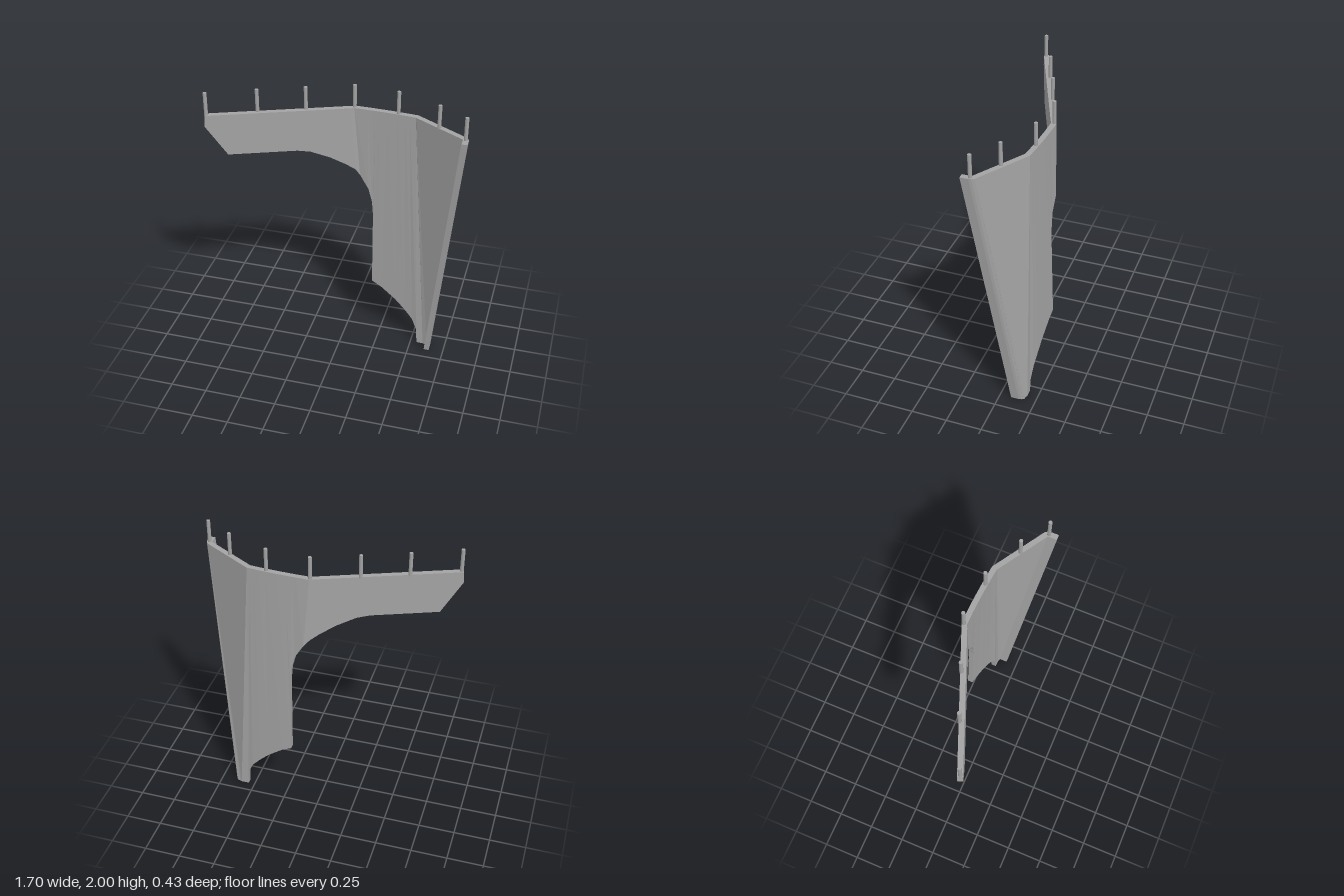
import * as THREE from 'three';

const TOP = 1.845;

// Flat-shaded closed solid through rings that run counter-clockwise about the direction of travel
function loft(rings) {
  const pos = [];
  const tri = (...pts) => pts.forEach((p) => pos.push(...p));
  const n = rings[0].length;
  for (let i = 0; i < rings.length - 1; i++) {
    const a = rings[i], b = rings[i + 1];
    for (let j = 0; j < n; j++) {
      const k = (j + 1) % n;
      tri(a[j], a[k], b[k]);
      tri(a[j], b[k], b[j]);
    }
  }
  const first = rings[0], last = rings[rings.length - 1];
  for (let j = 1; j < n - 1; j++) {
    tri(first[0], first[j + 1], first[j]);
    tri(last[0], last[j], last[j + 1]);
  }
  const g = new THREE.BufferGeometry();
  g.setAttribute('position', new THREE.Float32BufferAttribute(pos, 3));
  g.computeVertexNormals();
  return g;
}

export function createModel() {
  const model = new THREE.Group();
  const grey = new THREE.MeshStandardMaterial({ color: 0xa3a3a3 });
  grey.name = 'plain grey';
  const add = (geometry, name) => {
    const mesh = new THREE.Mesh(geometry, grey);
    mesh.name = name;
    model.add(mesh);
    return mesh;
  };

  // Columns of the folded sheet: lower x, y, z and upper x, z on the back surface.
  // The straight arm lies in one vertical plane.
  const armZ = (x) => -0.185 - 0.4 * (x - 0.06);
  const arm = [[-0.85, 1.77], [-0.72, 1.555], [-0.3, 1.555], [-0.22, 1.542], [-0.1, 1.49], [0, 1.43], [0.06, 1.385], [0.1, 1.34]]
    .map(([x, y], i) => {
      const top = [-0.845, -0.72, -0.3, -0.22, -0.12, -0.04, 0.02, 0.06][i];
      return [x, y, armZ(x), top, armZ(top)];
    });
  const body = [
    [0.16, 1.24, -0.199, 0.15, -0.183],
    [0.185, 1.14, -0.203, 0.18, -0.182],
    [0.193, 1.04, -0.206, 0.2, -0.181],
    [0.193, 0.46, -0.222, 0.22, -0.18],
    [0.26, 0.425, -0.217, 0.28, -0.177],
    [0.37, 0.34, -0.207, 0.35, -0.172],
    [0.44, 0.27, -0.2, 0.4, -0.168],
    [0.5, 0.2, -0.192, 0.43, -0.165],
    [0.54, 0.11, -0.184, 0.46, -0.162],
    [0.545, 0, -0.18, 0.47, -0.161],
    [0.6, 0, -0.18, 0.48, -0.16],
    [0.64, 0, -0.162, 0.83, 0.052],
  ];
  // Thickness goes towards the front, square to each panel
  const columns = [...arm, ...body];
  const rings = columns.map(([x, y, z, tx, tz], i) => {
    let [dx, dz] = [0, 0.036];
    if (i < arm.length - 1) [dx, dz] = [0.013, 0.033];
    if (i === columns.length - 2) [dx, dz] = [-0.008, 0.037];
    if (i === columns.length - 1) [dx, dz] = [-0.017, 0.032];
    return [[x, y, z], [tx, TOP, tz], [tx + dx, TOP, tz + dz], [x + dx, y, z + dz]];
  });
  add(loft(rings), 'foldedPanel');

  // Leaning flange along the outer edge, rounded at its back corner
  const outline = [[0, 0.09], [0.037, 0.09], [0.037, 0.035], [0.033, 0.018], [0.022, 0], [0, -0.005]];
  const flangeRing = (x, y, z) => outline.map(([u, w]) => [x + u, y, z + w]);
  add(loft([flangeRing(0.612, 0, -0.17), flangeRing(0.808, TOP, 0.052)]), 'edgeFlange');

  // Row of pegs standing on the top edge
  const pegGeometry = new THREE.CylinderGeometry(0.0125, 0.0125, 0.165, 12);
  [[-0.828, 0.19], [-0.528, 0.057], [-0.238, -0.058], [0.058, -0.17], [0.352, -0.152], [0.638, -0.035], [0.825, 0.083]]
    .forEach(([x, z], i) => add(pegGeometry, `peg${i + 1}`).position.set(x, 1.9175, z));

  return model;
}
